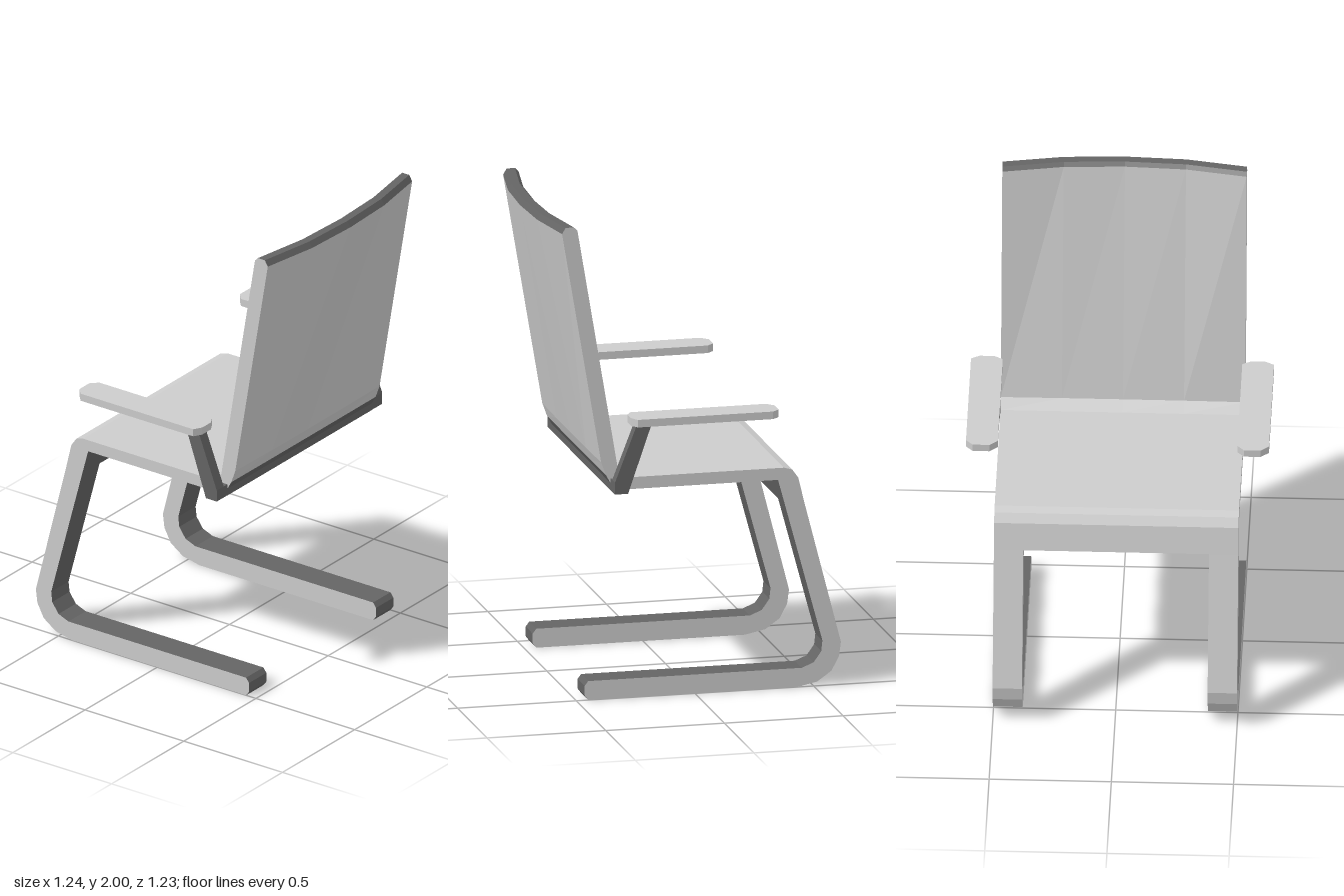
import * as THREE from 'three';

const light = new THREE.MeshStandardMaterial({ color: 0xcccccc });
light.name = 'lightGrey';
const dark = new THREE.MeshStandardMaterial({ color: 0x646464 });
dark.name = 'darkGrey';

// Sweeps a counter-clockwise [z, y] profile along the x stations with flat faces.
// Edges listed in darkEdges take the second material; bulge shifts z by x and y.
function sweep(name, profile, xs, darkEdges = [], bulge = () => 0) {
  const faces = [[], []];
  const n = profile.length;
  const at = (i, x) => {
    const [z, y] = profile[i % n];
    return [x, y, z + bulge(x, y)];
  };
  for (let i = 0; i < n; i++) {
    const out = faces[darkEdges.includes(i) ? 1 : 0];
    for (let s = 0; s < xs.length - 1; s++) {
      const a0 = at(i, xs[s]), a1 = at(i, xs[s + 1]);
      const b0 = at(i + 1, xs[s]), b1 = at(i + 1, xs[s + 1]);
      out.push(...a0, ...a1, ...b1, ...a0, ...b1, ...b0);
    }
  }
  // End caps
  const contour = profile.map(([z, y]) => new THREE.Vector2(z, y));
  for (const [a, b, c] of THREE.ShapeUtils.triangulateShape(contour, [])) {
    const x0 = xs[0], x1 = xs[xs.length - 1];
    faces[0].push(...at(a, x0), ...at(b, x0), ...at(c, x0));
    faces[0].push(...at(c, x1), ...at(b, x1), ...at(a, x1));
  }
  const geo = new THREE.BufferGeometry();
  geo.setAttribute('position', new THREE.Float32BufferAttribute([...faces[0], ...faces[1]], 3));
  geo.addGroup(0, faces[0].length / 3, 0);
  if (faces[1].length) geo.addGroup(faces[0].length / 3, faces[1].length / 3, 1);
  geo.computeVertexNormals();
  const mesh = new THREE.Mesh(geo, [light, dark]);
  mesh.name = name;
  return mesh;
}

function box(name, material, w, h, d, x, y, z) {
  const mesh = new THREE.Mesh(new THREE.BoxGeometry(w, h, d), material);
  mesh.position.set(x, y, z);
  mesh.name = name;
  return mesh;
}

export function createModel() {
  const chair = new THREE.Group();
  chair.name = 'cantileverChair';

  // Seat with the rounded edge and apron that lead into the legs
  chair.add(sweep('seat', [
    [-0.463, 0.77], [-0.38, 0.77], [-0.35, 0.88], [0.35, 0.88],
    [0.35, 0.93], [-0.375, 0.93], [-0.41, 0.92], [-0.435, 0.885],
  ], [-0.5, 0.5], [0, 1, 3]));

  // Backrest, bowed more strongly towards the top
  const bow = (x, y) => {
    const t = Math.min(1, Math.max(0, (y - 0.93) / 1.05));
    const ax = Math.abs(x);
    return t * (ax > 0.4 ? 0 : ax > 0.1 ? 0.042 : 0.053);
  };
  chair.add(sweep('backrest', [
    [0.29, 0.9], [0.35, 0.9], [0.375, 0.945], [0.395, 1.0], [0.56, 1.975],
    [0.545, 2.0], [0.51, 2.0], [0.495, 1.985], [0.325, 0.97], [0.29, 0.93],
  ], [-0.5, -0.25, 0, 0.25, 0.5], [1, 4, 5, 6], bow));

  // Rear rail under the backrest
  chair.add(box('rearRail', dark, 1.0, 0.05, 0.008, 0, 0.905, 0.352));

  // Bent legs running into the floor runners
  const leg = [
    [-0.463, 0.77], [-0.615, 0.18], [-0.607, 0.12], [-0.575, 0.06], [-0.515, 0.018],
    [-0.43, 0], [0.45, 0], [0.465, 0.02], [0.465, 0.06], [0.45, 0.08],
    [-0.45, 0.08], [-0.5, 0.1], [-0.532, 0.145], [-0.537, 0.19], [-0.38, 0.77],
  ];
  // Slanted armrest support
  const support = [
    [0.3, 0.88], [0.355, 0.88], [0.355, 0.93], [0.262, 1.17], [0.2, 1.17],
  ];
  // Armrest outline seen from above, as [x, z]
  const pad = [
    [0.49, -0.3], [0.523, -0.33], [0.592, -0.33], [0.62, -0.3],
    [0.62, 0.27], [0.585, 0.29], [0.525, 0.29], [0.49, 0.27],
  ];
  const padShape = new THREE.Shape(pad.map(([x, z]) => new THREE.Vector2(x, -z)));
  const padGeo = new THREE.ExtrudeGeometry(padShape, { depth: 0.032, bevelEnabled: false });
  padGeo.rotateX(-Math.PI / 2);

  for (const [side, s] of [['left', 1], ['right', -1]]) {
    const span = (a, b) => (s > 0 ? [a, b] : [-b, -a]);
    chair.add(sweep(side + 'Leg', leg, span(0.38, 0.5), [5, 6, 7, 8, 9, 10, 11, 12, 13]));

    const post = sweep(side + 'ArmSupport', support, span(0.525, 0.573));
    post.material = [dark, dark];
    chair.add(post);
    chair.add(box(side + 'ArmBracket', dark, 0.03, 0.05, 0.055, s * 0.513, 0.905, 0.3275));

    const arm = new THREE.Mesh(padGeo, light);
    arm.name = side + 'Armrest';
    arm.position.set(s > 0 ? 0 : -1.11, 1.17, 0);
    chair.add(arm);
  }
  return chair;
}
